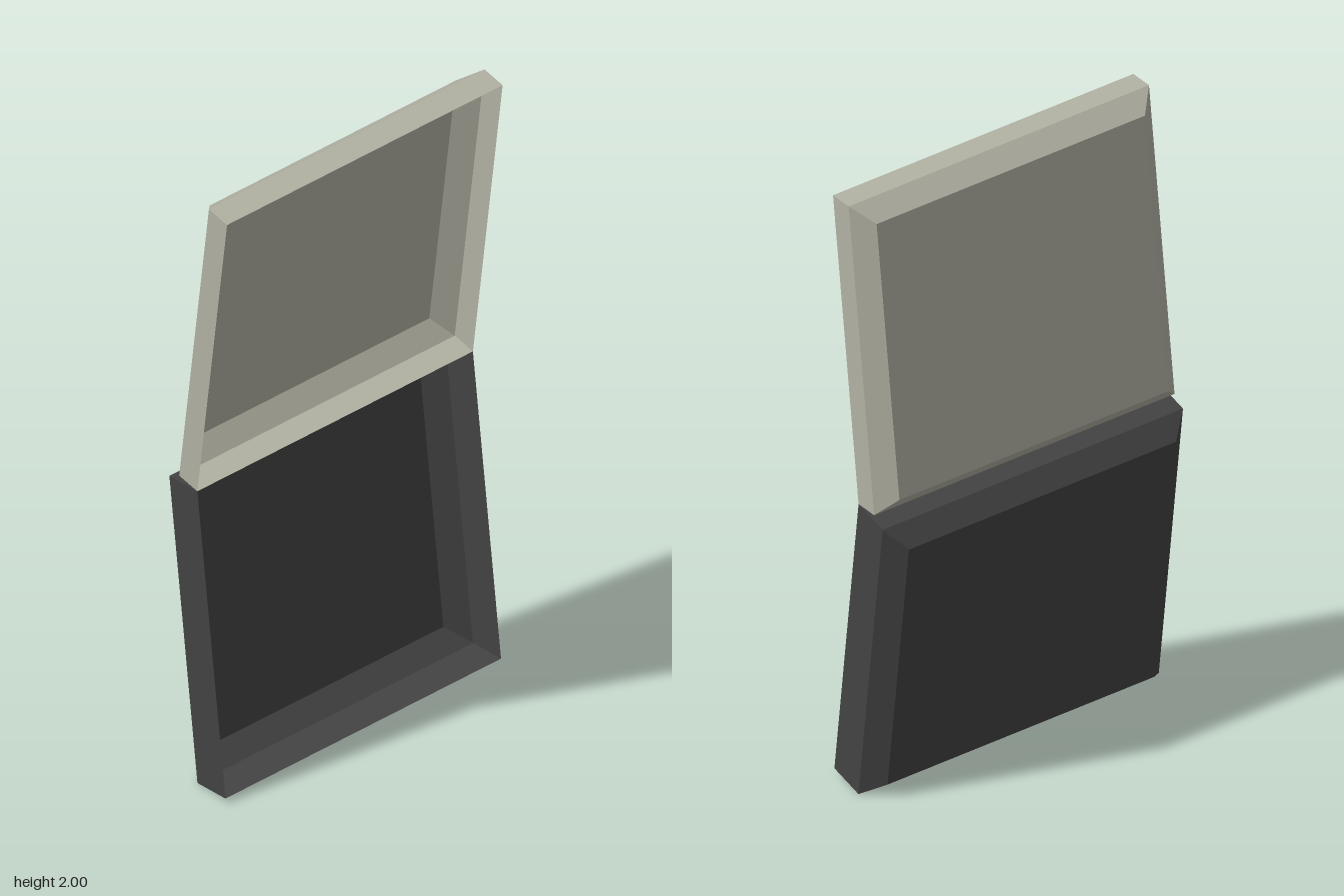
import * as THREE from 'three';

const SIZE = 0.995;   // square rim of each half
const BEVEL = 0.055;  // chamfer between wall and panel

// Open square tray: rim -> straight wall -> chamfer -> flat panel, opening toward +x
function trayGeometry(depth, bevel) {
  const h = SIZE / 2;
  const rings = [[h, 0], [h, -depth], [h - bevel, -depth - bevel]].map(([s, x]) =>
    [[-1, -1], [-1, 1], [1, 1], [1, -1]].map(([y, z]) => [x, y * s, z * s]));
  const pos = [];
  const quad = (a, b, c, d) => pos.push(...a, ...b, ...c, ...a, ...c, ...d);
  for (let r = 0; r < 2; r++) {
    for (let k = 0; k < 4; k++) {
      const n = (k + 1) % 4;
      quad(rings[r][k], rings[r][n], rings[r + 1][n], rings[r + 1][k]);
    }
  }
  quad(...rings[2]);
  const g = new THREE.BufferGeometry();
  g.setAttribute('position', new THREE.Float32BufferAttribute(pos, 3));
  g.computeVertexNormals();
  return g;
}

function flatMaterial(name, color) {
  const m = new THREE.MeshStandardMaterial({ color, side: THREE.DoubleSide });
  m.name = name;
  return m;
}

export function createModel() {
  const model = new THREE.Group();
  model.name = 'hingedCase';

  // Each half swings about the shared hinge line
  const addHalf = (name, depth, bevel, up, degrees, material) => {
    const half = new THREE.Group();
    half.name = name;
    half.position.set(0.0185, 1.0025, 0);
    half.rotation.z = THREE.MathUtils.degToRad(degrees);
    const shell = new THREE.Mesh(trayGeometry(depth, bevel), material);
    shell.name = name + 'Shell';
    shell.position.y = up * SIZE / 2;
    half.add(shell);
    model.add(half);
  };

  addHalf('lid', 0.078, 0.053, 1, -7.3, flatMaterial('warmGrey', 0xb2b2a4));
  addHalf('base', 0.12, BEVEL, -1, 6.9, flatMaterial('charcoal', 0x434343));

  return model;
}
